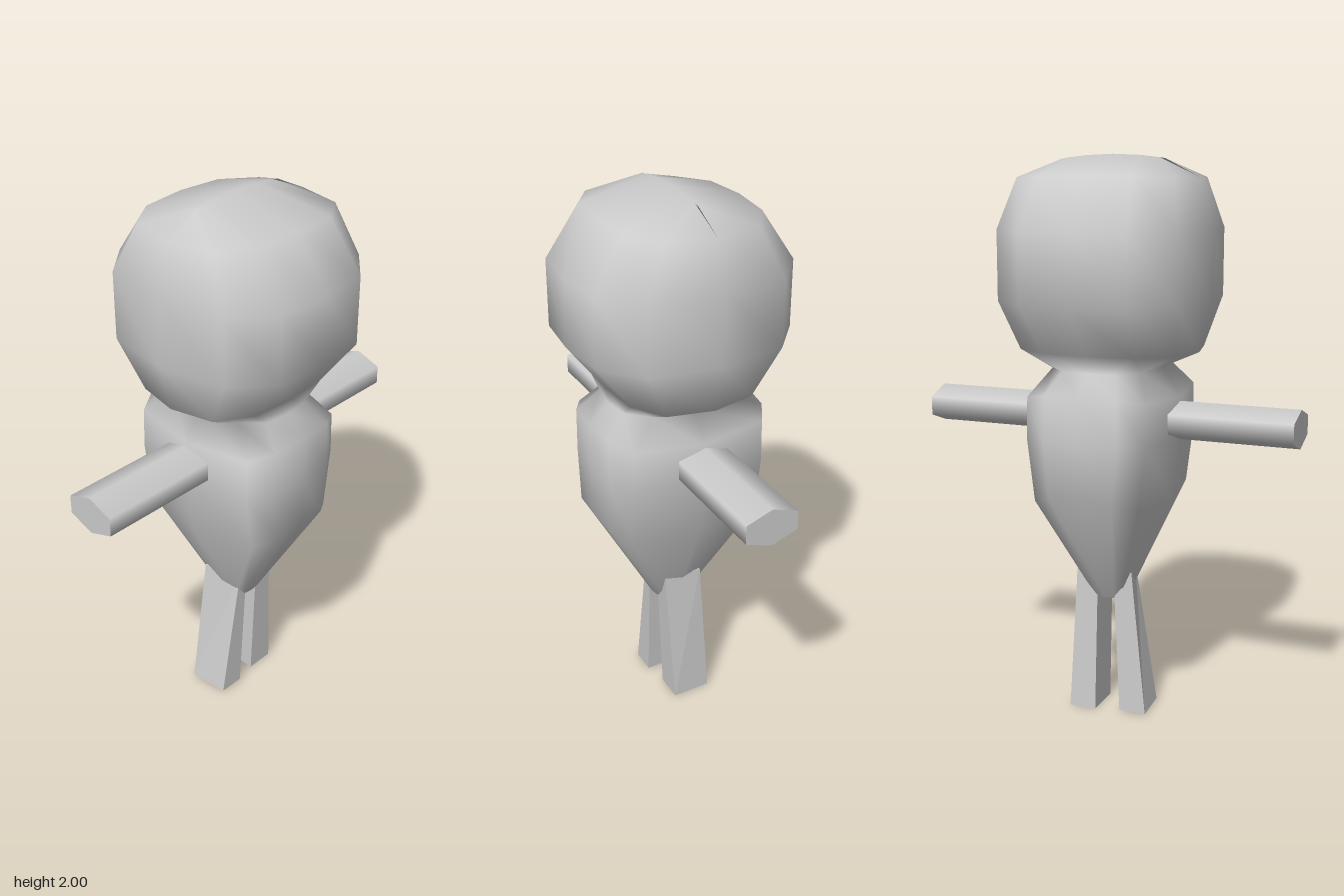
import * as THREE from 'three';
import { mergeVertices } from 'three/addons/utils/BufferGeometryUtils.js';

const material = new THREE.MeshStandardMaterial({ color: 0xcccccc });

function addMesh(group, geometry, name) {
  const mesh = new THREE.Mesh(geometry, material);
  mesh.name = name;
  group.add(mesh);
  return mesh;
}

// Rounded-square cross-section: a quarter, mirrored into twelve points
function section(shoulder, corner) {
  const q = [[0, 1], [0.52, shoulder], corner, [1, 0]];
  const half = [...q, ...[2, 1, 0].map(i => [q[i][0], -q[i][1]])];
  return [...half, ...half.slice(1, 6).reverse().map(([x, z]) => [-x, z])];
}
const HEAD = section(0.947, [0.89, 0.645]);
const BODY = section(0.96, [0.85, 0.8]);

// Skin stacked rings, listed from the top down; drop lowers a ring's sides
function loft(rings) {
  const pos = [], index = [];
  rings.forEach(([y, rx, rz, drop, shape], r) => shape.forEach(([x, z], i) => {
    pos.push(x * rx, y - drop * x * x, z * rz);
    if (r + 1 === rings.length) return;
    const n = shape.length, j = (i + 1) % n;
    const a = r * n + i, b = a + n, d = r * n + j, c = d + n;
    index.push(a, b, c, a, c, d);
  }));
  const raw = new THREE.BufferGeometry();
  raw.setAttribute('position', new THREE.Float32BufferAttribute(pos, 3));
  raw.setIndex(index);
  const geometry = mergeVertices(raw);
  geometry.computeVertexNormals();
  return geometry;
}

// Tapered four-sided leg from a top and a bottom quad of [x, z] corners
function legGeometry(top, bottom, yTop, yBottom) {
  const geometry = new THREE.BoxGeometry(1, 1, 1).toNonIndexed();
  const p = geometry.attributes.position;
  for (let i = 0; i < p.count; i++) {
    const k = (p.getZ(i) > 0 ? 0 : 2) + (p.getX(i) > 0 ? 1 : 0);
    const up = p.getY(i) > 0;
    const [x, z] = (up ? top : bottom)[k];
    p.setXYZ(i, x, up ? yTop : yBottom, z);
  }
  geometry.computeVertexNormals();
  return geometry;
}

export function createModel() {
  const group = new THREE.Group();
  group.name = 'figure';

  // Head, neck and tapering body in one smooth skin
  addMesh(group, loft([
    [2.0, 0.19, 0, 0.015, HEAD],
    [1.93, 0.32, 0.26, 0.01, HEAD],
    [1.75, 0.365, 0.38, 0, HEAD],
    [1.51, 0.365, 0.38, 0, HEAD],
    [1.335, 0.32, 0.245, 0, HEAD],
    [1.275, 0.185, 0.235, 0, HEAD],
    [1.21, 0.255, 0.31, 0.035, BODY],
    [1.04, 0.26, 0.31, 0, BODY],
    [0.86, 0.227, 0.31, 0.06, BODY],
    [0.43, 0.06, 0.075, 0, HEAD],
    [0.405, 0.035, 0, 0, HEAD],
  ]), 'headAndBody');

  // Straight six-sided arms, held out sideways
  for (const side of [1, -1]) {
    const geometry = new THREE.CylinderGeometry(1, 1, 0.485, 6, 1, false, Math.PI / 2);
    geometry.rotateZ(Math.PI / 2);
    geometry.scale(1, 0.068, 0.11);
    const arm = addMesh(group, geometry, side > 0 ? 'leftArm' : 'rightArm');
    arm.position.set(side * 0.4425, 1.093, -0.003);
  }

  // Legs: corners run front -x, front +x, back -x, back +x
  addMesh(group, legGeometry(
    [[0.03, 0.07], [0.1, 0.07], [0.03, -0.07], [0.11, -0.07]],
    [[0.03, 0.045], [0.135, 0.045], [0.03, -0.1], [0.13, -0.1]], 0.55, 0.0), 'leftLeg');
  addMesh(group, legGeometry(
    [[-0.06, 0.07], [-0.025, 0.07], [-0.1, -0.07], [-0.03, -0.07]],
    [[-0.15, 0.065], [-0.055, 0.065], [-0.16, -0.085], [-0.06, -0.085]], 0.53, 0.005), 'rightLeg');

  return group;
}
